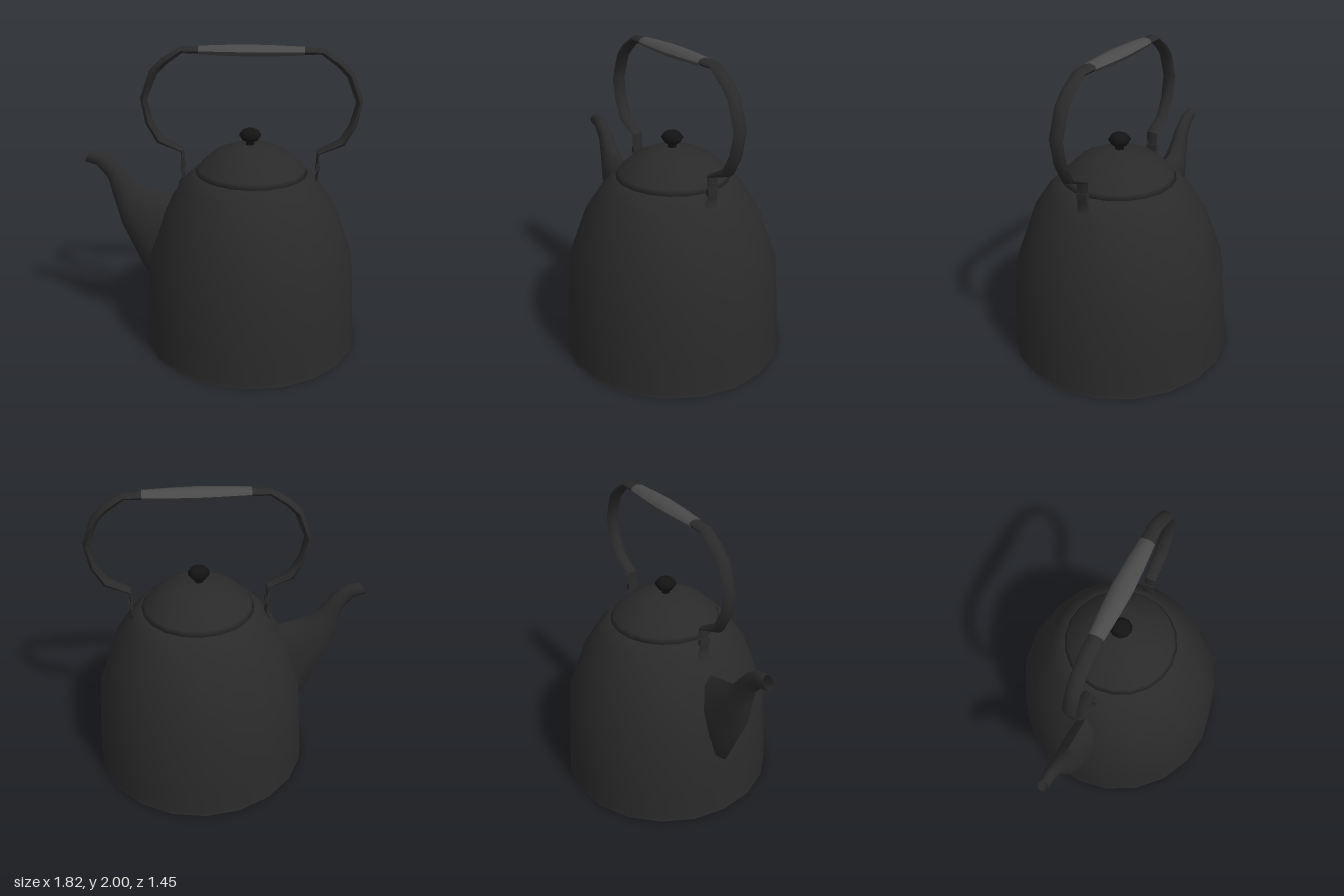
import * as THREE from 'three';
import { toCreasedNormals } from 'three/addons/utils/BufferGeometryUtils.js';

const CX = 0.185; // axis of the body
const HX = 0.175; // mirror plane of the handle

const material = (color) => new THREE.MeshStandardMaterial({ color, side: THREE.DoubleSide });
const enamel = material(0x2a2a2a);
const gripGrey = material(0x4a4a4a);
const knobBlack = material(0x141414);

// Loft of elliptical rings; each section is [lowX, lowY, highX, highY, halfWidthZ]
function loft(sections, sides, capped, crease = 0.9) {
  const pos = [], idx = [], n = sections.length;
  for (const [lx, ly, hx, hy, w] of sections) {
    for (let j = 0; j < sides; j++) {
      const a = (j / sides) * Math.PI * 2, c = Math.cos(a) / 2;
      pos.push((lx + hx) / 2 + (hx - lx) * c, (ly + hy) / 2 + (hy - ly) * c, w * Math.sin(a));
    }
  }
  for (let i = 0; i < n - 1; i++) {
    for (let j = 0; j < sides; j++) {
      const k = (j + 1) % sides;
      const a = i * sides + j, b = (i + 1) * sides + j, c = i * sides + k, d = (i + 1) * sides + k;
      idx.push(a, b, c, c, b, d);
    }
  }
  if (capped) {
    const e = (n - 1) * sides;
    for (let j = 1; j < sides - 1; j++) idx.push(0, j, j + 1, e, e + j + 1, e + j);
  }
  const g = new THREE.BufferGeometry();
  g.setAttribute('position', new THREE.Float32BufferAttribute(pos, 3));
  g.setIndex(idx);
  return toCreasedNormals(g, crease);
}

// Sections along a path in the xy plane; each point is [x, y, halfThickness, halfWidthZ]
function sweep(path) {
  return path.map(([x, y, t, w], i) => {
    const p = path[Math.max(i - 1, 0)], q = path[Math.min(i + 1, path.length - 1)];
    const d = new THREE.Vector2(q[0] - p[0], q[1] - p[1]).normalize();
    return [x - d.y * t, y + d.x * t, x + d.y * t, y - d.x * t, w];
  });
}

const mirror = (path) => path.map(([x, ...rest]) => [2 * HX - x, ...rest]);

function lathe(profile, sides) {
  return new THREE.LatheGeometry(profile.map(([r, y]) => new THREE.Vector2(r, y)), sides);
}

export function createModel() {
  const model = new THREE.Group();
  const add = (name, geometry, mat = enamel, x = 0, y = 0) => {
    const mesh = new THREE.Mesh(geometry, mat);
    mesh.name = name;
    mesh.position.set(x, y, 0);
    model.add(mesh);
    return mesh;
  };

  // Body with a shoulder that closes under the lid
  add('body', lathe([
    [0.725, 0], [0.72, 0.02], [0.713, 0.2], [0.68, 0.61], [0.565, 0.93], [0.455, 1.1], [0.385, 1.172], [0.34, 1.172],
  ], 20), enamel, CX);
  const bottom = add('bottom', new THREE.CircleGeometry(0.725, 20), enamel, CX);
  bottom.rotation.x = Math.PI / 2;

  // Domed lid
  add('lid', lathe([
    [0.33, 1.174], [0.365, 1.18], [0.345, 1.21], [0.255, 1.295], [0.17, 1.335], [0.07, 1.36], [0, 1.362],
  ], 20), enamel, CX);

  // Knob on a short neck
  add('knob', lathe([
    [0.03, 1.35], [0.025, 1.385], [0.05, 1.392], [0.072, 1.425], [0.05, 1.455], [0.025, 1.466], [0, 1.467],
  ], 10), knobBlack, HX);

  // Spout: broad at the body, curling to an open tip
  add('spout', loft([
    [-0.42, 0.36, -0.28, 0.98, 0.11],
    [-0.53, 0.44, -0.37, 1.01, 0.1],
    [-0.68, 0.78, -0.57, 1.07, 0.08],
    [-0.73, 0.98, -0.63, 1.145, 0.06],
    [-0.76, 1.11, -0.69, 1.22, 0.048],
    [-0.83, 1.2, -0.78, 1.29, 0.04],
    [-0.91, 1.225, -0.86, 1.305, 0.035],
  ], 10, false, 1.1));

  // Bail handle, mirrored about its middle
  const half = [
    [-0.26, 1.24, 0.009, 0.035], [-0.262, 1.315, 0.014, 0.04], [-0.41, 1.385, 0.028, 0.043],
    [-0.475, 1.5, 0.026, 0.043], [-0.505, 1.65, 0.022, 0.045], [-0.44, 1.82, 0.026, 0.045],
    [-0.37, 1.89, 0.025, 0.045], [-0.26, 1.962, 0.02, 0.043], [-0.13, 1.963, 0.024, 0.043],
  ];
  add('handle', loft(sweep([...half, ...mirror(half).reverse()]), 8, true));

  // Grip, thicker in the middle
  add('grip', loft(sweep([
    [-0.15, 1.963, 0.027, 0.047], [0.02, 1.963, 0.034, 0.058], [HX, 1.963, 0.037, 0.064],
    [0.33, 1.963, 0.034, 0.058], [0.5, 1.963, 0.027, 0.047],
  ]), 8, true), gripGrey);

  // Hooked straps and pivots that join the handle to the body
  const strap = [
    [-0.262, 1.26, 0.007, 0.032], [-0.264, 1.17, 0.007, 0.036], [-0.255, 1.13, 0.01, 0.042],
    [-0.285, 1.08, 0.012, 0.04],
  ];
  [['right', strap, -0.262], ['left', mirror(strap), 2 * HX + 0.262]].forEach(([side, path, x]) => {
    add(side + 'HandleStrap', loft(sweep(path), 8, true));
    add(side + 'HandlePivot', new THREE.BoxGeometry(0.026, 0.042, 0.07), enamel, x, 1.215);
  });

  return model;
}
